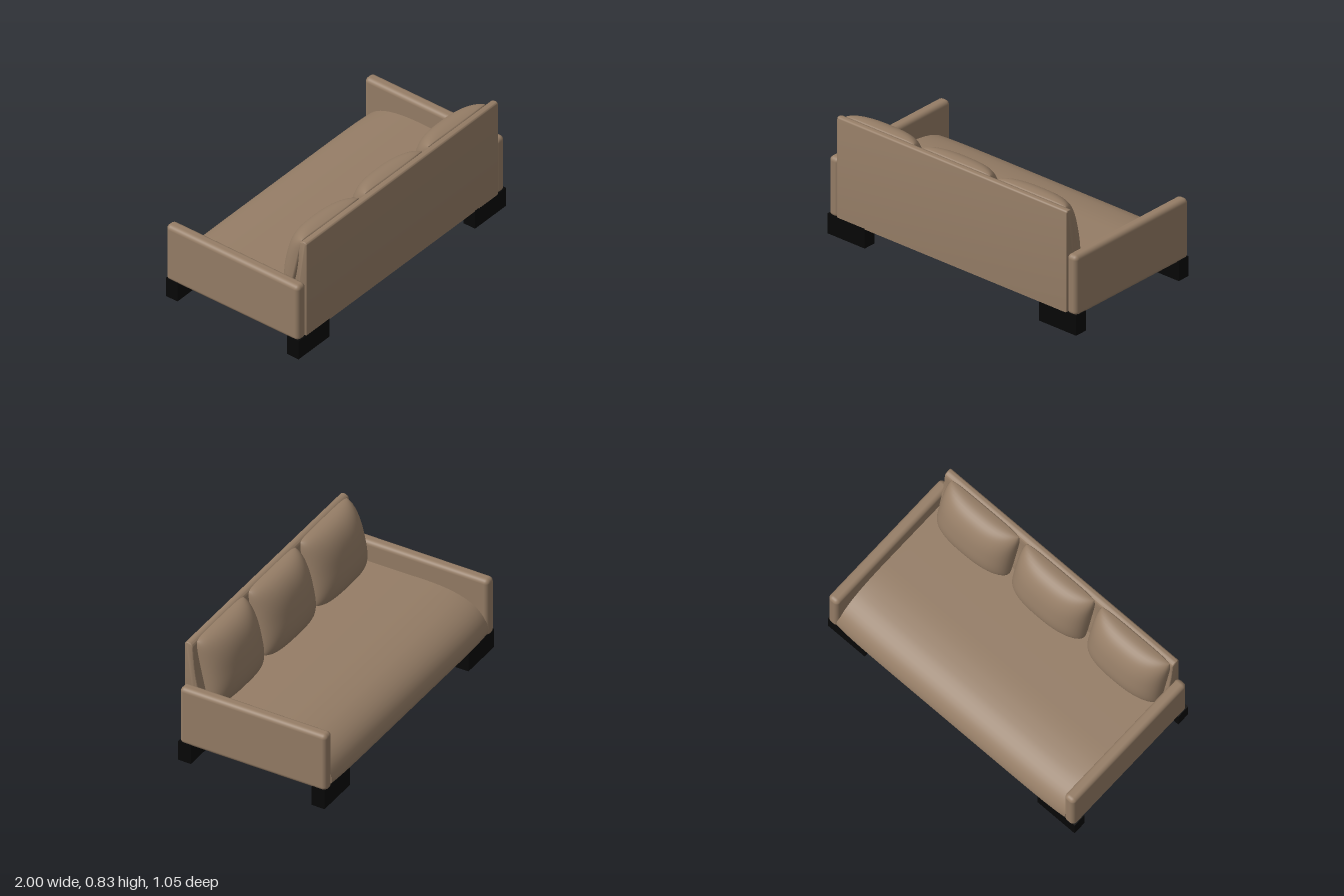
import * as THREE from 'three';
import { mergeVertices, toCreasedNormals } from 'three/addons/utils/BufferGeometryUtils.js';
import { RoundedBoxGeometry } from 'three/addons/geometries/RoundedBoxGeometry.js';

const fabric = new THREE.MeshStandardMaterial({ color: 0x957d66 });
fabric.name = 'brown fabric';
const black = new THREE.MeshStandardMaterial({ color: 0x070707 });
black.name = 'black legs';

// Move every vertex by a rule
function deform(geometry, rule) {
  const pos = geometry.attributes.position;
  const v = new THREE.Vector3();
  for (let i = 0; i < pos.count; i++) {
    rule(v.fromBufferAttribute(pos, i));
    pos.setXYZ(i, v.x, v.y, v.z);
  }
  return geometry;
}

// Weld the vertices and make the whole surface smooth
function smooth(geometry) {
  geometry.deleteAttribute('uv');
  geometry.deleteAttribute('normal');
  const welded = mergeVertices(geometry, 1e-4);
  welded.computeVertexNormals();
  return welded;
}

// Sweep a (z, y) outline across x
function sweepAcross(points, width, steps, bevel) {
  const geometry = new THREE.ExtrudeGeometry(new THREE.Shape(points), {
    depth: width - 2 * bevel, steps, bevelEnabled: bevel > 0,
    bevelSize: bevel, bevelThickness: bevel, bevelOffset: -bevel, bevelSegments: 4,
  });
  return geometry.translate(0, 0, bevel - width / 2).rotateY(-Math.PI / 2);
}

// Seat with a rolled front edge and a gently sagging underside
function seatGeometry() {
  const outline = new THREE.Path();
  outline.moveTo(-0.46, 0.122);
  outline.lineTo(0.48, 0.122);
  outline.lineTo(0.48, 0.385);
  outline.lineTo(-0.08, 0.39);
  outline.bezierCurveTo(-0.33, 0.39, -0.495, 0.33, -0.512, 0.175);
  outline.quadraticCurveTo(-0.514, 0.125, -0.46, 0.122);
  const points = outline.getPoints(14);
  // Extra points along the underside
  const underside = [];
  for (let i = 1; i < 12; i++) underside.push(new THREE.Vector2(-0.46 + 0.94 * i / 12, 0.122));
  points.splice(1, 0, ...underside);
  points.pop();
  const geometry = deform(sweepAcross(points, 1.85, 32, 0), (p) => {
    const u = Math.min(1, Math.abs(p.x) / 0.925);
    const along = Math.max(0, 1 - ((p.z - 0.1) / 0.58) ** 2);
    if (p.y < 0.13) p.y -= 0.027 * (1 - u) * along;
    if (p.z < -0.3) p.z -= 0.012 * (1 - u ** 8);
  });
  return toCreasedNormals(geometry, 0.7);
}

// Plump square pillow, fuller at the front (-z) than at the back
function pillowGeometry() {
  const geometry = deform(new THREE.BoxGeometry(2, 2, 2, 28, 28, 1), (p) => {
    const u = Math.sin(p.x * Math.PI / 2);
    const v = Math.sin(p.y * Math.PI / 2);
    const fall = (t) => Math.max(0, 1 - Math.abs(t) ** 2.6);
    const depth = (fall(u) * fall(v)) ** 0.45;
    p.set(
      u * 0.287 * (1 - 0.05 * v ** 8),
      v * 0.243 * (1 - 0.05 * u ** 8),
      depth * (p.z < 0 ? -0.153 : 0.04),
    );
  });
  return smooth(geometry).rotateX(0.22);
}

export function createModel() {
  const group = new THREE.Group();
  const add = (name, geometry, material, x = 0, y = 0, z = 0) => {
    const mesh = new THREE.Mesh(geometry, material);
    mesh.name = name;
    mesh.position.set(x, y, z);
    group.add(mesh);
  };

  add('seat', seatGeometry(), fabric);

  // Backrest, thicker towards the bottom
  const back = new THREE.Path();
  back.moveTo(0.41, 0.13);
  back.lineTo(0.522, 0.13);
  back.lineTo(0.522, 0.805);
  back.quadraticCurveTo(0.522, 0.823, 0.5, 0.823);
  back.quadraticCurveTo(0.466, 0.82, 0.464, 0.79);
  back.quadraticCurveTo(0.458, 0.62, 0.428, 0.5);
  back.lineTo(0.41, 0.4);
  const backGeometry = sweepAcross(back.getPoints(8), 1.85, 1, 0.008);
  add('backrest', toCreasedNormals(backGeometry, 0.7), fabric);

  // Three loose back pillows
  const pillow = pillowGeometry();
  for (const x of [-0.625, -0.015, 0.595]) add('backPillow', pillow, fabric, x, 0.586, 0.416);

  // Arms and legs, mirrored
  const arm = new RoundedBoxGeometry(0.08, 0.41, 1.03, 5, 0.03);
  const leg = new THREE.BoxGeometry(0.3, 0.135, 0.09);
  for (const side of [-1, 1]) {
    const label = side > 0 ? 'left' : 'right';
    add(label + 'Arm', arm, fabric, side * 0.957, 0.325, 0.002);
    add(label + 'RearLeg', leg, black, side * 0.85, 0.0675, 0.477);
    add(label + 'FrontLeg', leg, black, side * 0.85, 0.0675, -0.461);
  }
  return group;
}
